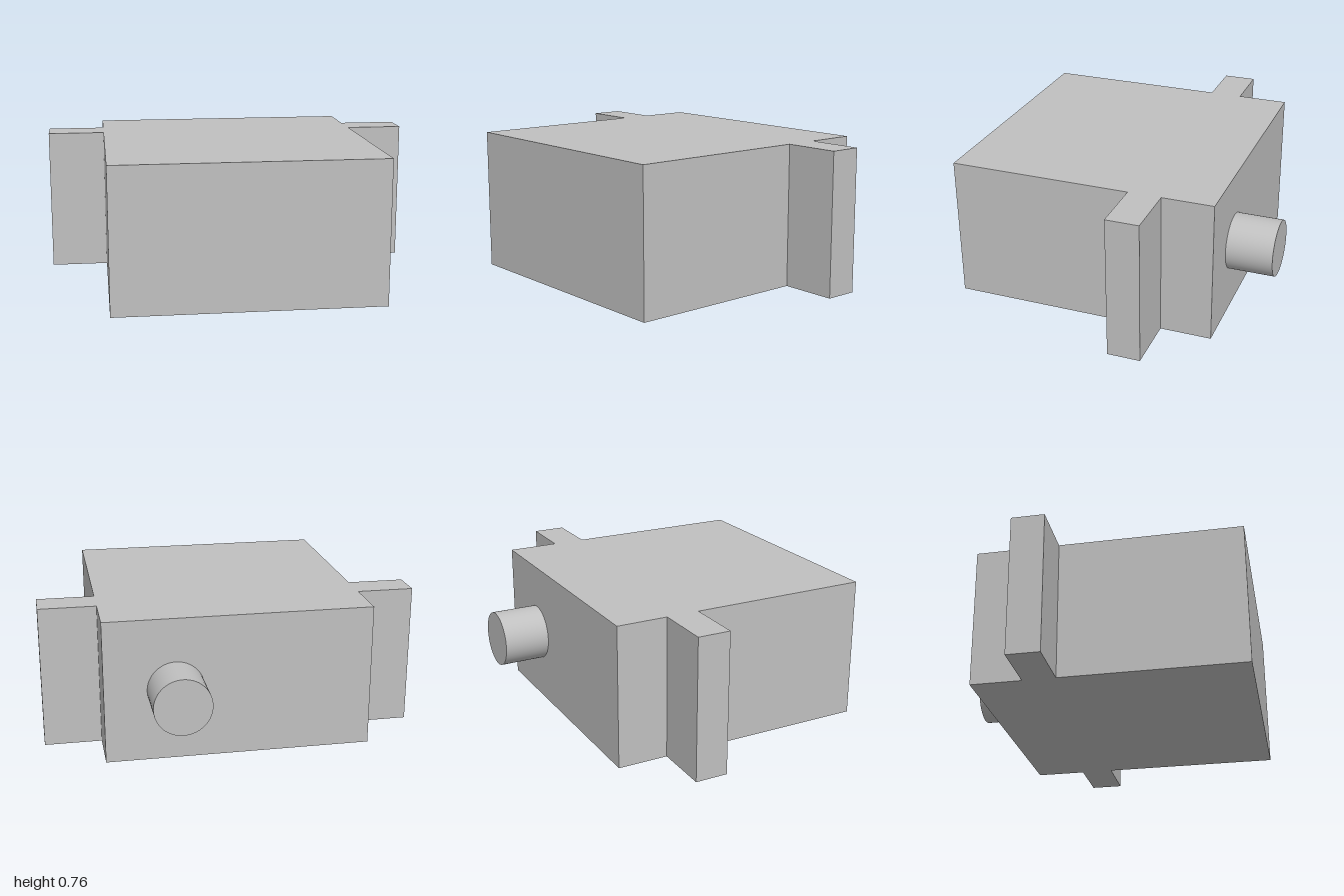
import * as THREE from 'three';

export function createModel() {
  const model = new THREE.Group();
  const grey = new THREE.MeshStandardMaterial({ color: 0xc0c0c0 });
  grey.name = 'light grey';

  const height = 0.757;
  const bodyHalf = 0.698;
  const bodyBack = -0.58;
  const front = 0.825;

  const add = (name, geometry, x, y, z) => {
    const mesh = new THREE.Mesh(geometry, grey);
    mesh.name = name;
    mesh.position.set(x, y, z);
    model.add(mesh);
    return mesh;
  };

  // Main housing
  add('housing', new THREE.BoxGeometry(bodyHalf * 2, height, front - bodyBack),
    0, height / 2, (front + bodyBack) / 2);

  // Full-height mounting flanges, one on each side
  const flangeWidth = 1 - bodyHalf;
  for (const [name, side] of [['leftFlange', 1], ['rightFlange', -1]]) {
    add(name, new THREE.BoxGeometry(flangeWidth, height, 0.174),
      side * (bodyHalf + flangeWidth / 2), height / 2, -0.223);
  }

  // Output shaft on the back, offset to the left
  const shaftLength = front + bodyBack;
  const shaft = add('shaft', new THREE.CylinderGeometry(0.148, 0.148, shaftLength, 64),
    0.33, height / 2, bodyBack - shaftLength / 2);
  shaft.rotation.x = Math.PI / 2;

  return model;
}
